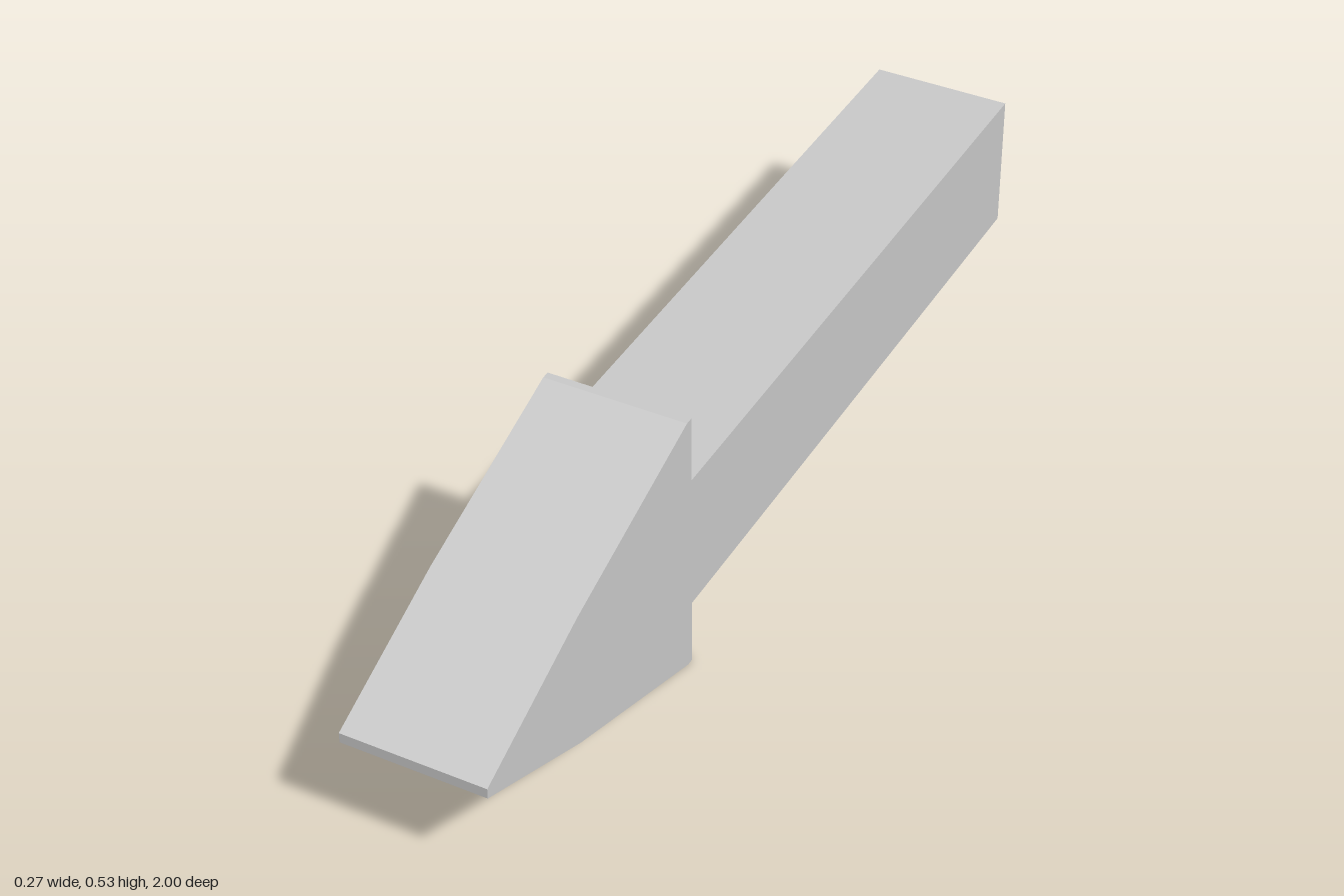
import * as THREE from 'three';

const WIDTH = 0.272;   // thickness across x
const MID_Y = 0.268;   // height of the arrow's centre line

// Upper half of the side outline: [z, height above the centre line], tip to tail
const HALF_OUTLINE = [
  [1, 0.01],         // blunt tip
  [0.71, 0.136],     // bend in the head's slope
  [0.335, 0.267],    // barb
  [0.32, 0.267],
  [0.32, 0.136],     // head meets shaft
  [-1, 0.136],       // tail
];

export function createModel() {
  const group = new THREE.Group();
  group.name = 'arrow';

  const grey = new THREE.MeshStandardMaterial({ color: 0xcccccc });
  grey.name = 'lightGrey';

  // Mirror the half outline below the centre line to close the profile
  const upper = HALF_OUTLINE.map(([z, h]) => new THREE.Vector2(z, MID_Y + h));
  const lower = HALF_OUTLINE.map(([z, h]) => new THREE.Vector2(z, MID_Y - h)).reverse();
  const profile = new THREE.Shape([...upper, ...lower]);

  // Head and shaft are one solid slab, extruded across the width
  const geometry = new THREE.ExtrudeGeometry(profile, { depth: WIDTH, bevelEnabled: false });
  geometry.translate(0, 0, -WIDTH / 2);
  geometry.rotateY(-Math.PI / 2); // profile x becomes +z

  const body = new THREE.Mesh(geometry, grey);
  body.name = 'arrowHeadAndShaft';
  group.add(body);
  return group;
}
